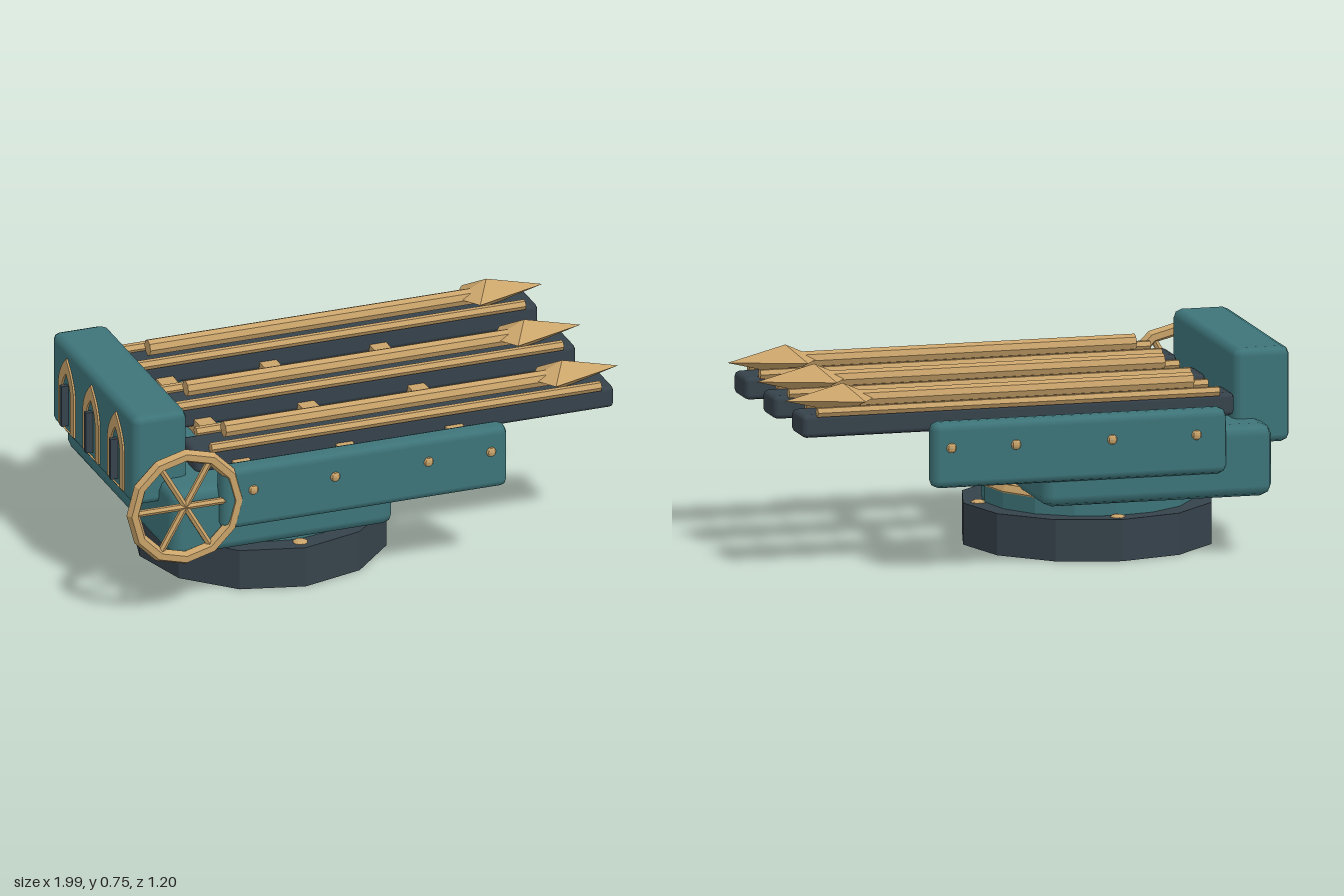
import * as THREE from 'three';
import { RoundedBoxGeometry } from 'three/addons/geometries/RoundedBoxGeometry.js';

const teal = new THREE.MeshStandardMaterial({ color: 0x3d7479 });
const gold = new THREE.MeshStandardMaterial({ color: 0xc9a36a, flatShading: true });
const dark = new THREE.MeshStandardMaterial({ color: 0x36424b });
const tealFlat = new THREE.MeshStandardMaterial({ color: 0x3d7479, flatShading: true });
const darkFlat = new THREE.MeshStandardMaterial({ color: 0x36424b, flatShading: true });

export function createModel() {
  const model = new THREE.Group();

  function add(name, geometry, material, x = 0, y = 0, z = 0, parent = model) {
    const mesh = new THREE.Mesh(geometry, material);
    mesh.name = name;
    mesh.position.set(x, y, z);
    parent.add(mesh);
    return mesh;
  }

  // Chamfered box given by its min and max on each axis
  function block(name, material, [x0, x1], [y0, y1], [z0, z1], bevel, parent = model) {
    const geometry = new RoundedBoxGeometry(x1 - x0, y1 - y0, z1 - z0, 1, bevel);
    return add(name, geometry, material, (x0 + x1) / 2, (y0 + y1) / 2, (z0 + z1) / 2, parent);
  }

  // Rod lying along x
  function rod(name, x0, x1, y, z, radius, sides, parent) {
    const geometry = new THREE.CylinderGeometry(radius, radius, x1 - x0, sides).rotateZ(-Math.PI / 2);
    return add(name, geometry, gold, (x0 + x1) / 2, y, z, parent);
  }

  // Turntable base
  const baseX = -0.265;
  add('base', new THREE.CylinderGeometry(0.47, 0.47, 0.155, 12), darkFlat, baseX, 0.0775, 0);
  add('turntable', new THREE.CylinderGeometry(0.39, 0.39, 0.07, 16), tealFlat, baseX, 0.185, 0);
  add('turntableRing', new THREE.TorusGeometry(0.365, 0.028, 6, 16).rotateX(Math.PI / 2), gold, baseX, 0.22, 0);
  for (let i = 0; i < 4; i++) {
    const a = (i * Math.PI) / 2;
    const bolt = add('baseBolt', new THREE.SphereGeometry(0.03, 8, 6), gold,
      baseX + 0.413 * Math.cos(a), 0.153, 0.413 * Math.sin(a));
    bolt.scale.y = 0.4;
  }

  // Carriage body, rear block and cross beams
  block('body', teal, [-0.82, 0.055], [0.225, 0.495], [-0.547, 0.547], 0.042);
  block('rearBlock', teal, [-0.92, -0.705], [0.4, 0.755], [-0.42, 0.42], 0.03);
  for (const x of [-0.52, -0.115, 0.315])
    add('crossBeam', new THREE.BoxGeometry(0.066, 0.06, 1.02), gold, x, 0.521, 0);

  // Side panels with studs
  for (const s of [-1, 1]) {
    const z0 = s * 0.543;
    block('sidePanel', teal, [-0.635, 0.485], [0.325, 0.57], [z0 - 0.042, z0 + 0.042], 0.03);
    for (const x of [-0.515, -0.195, 0.17, 0.415]) {
      const stud = add('panelStud', new THREE.SphereGeometry(0.019, 8, 6), gold, x, 0.478, s * 0.588);
      stud.scale.z = 0.6;
    }
  }

  // Bolt launchers: tray, two rails, shaft and head
  const head = boltHead();
  for (const z of [-0.385, 0, 0.385]) {
    const launcher = new THREE.Group();
    launcher.name = 'launcher';
    launcher.position.z = z;
    model.add(launcher);
    block('tray', dark, [-0.695, 0.945], [0.517, 0.602], [-0.08, 0.08], 0.018, launcher);
    for (const s of [-1, 1]) rod('rail', -0.635, 0.89, 0.612, s * 0.077, 0.019, 6, launcher);
    rod('boltShaft', -0.555, 0.72, 0.642, 0, 0.031, 8, launcher);
    add('boltHead', head, gold, 0, 0.645, 0, launcher);
  }

  // Hand wheel on the left side
  const wheel = new THREE.Group();
  wheel.name = 'handWheel';
  wheel.position.set(-0.775, 0.445, 0.567);
  model.add(wheel);
  add('wheelRim', new THREE.TorusGeometry(0.204, 0.025, 6, 12), gold, 0, 0, 0, wheel);
  for (let i = 0; i < 3; i++) {
    const spoke = add('wheelSpoke', new THREE.CylinderGeometry(0.013, 0.013, 0.4, 6), gold, 0, 0, 0, wheel);
    spoke.rotation.z = Math.PI / 2 + (i * Math.PI) / 3;
  }

  // Pointed windows on the rear face
  const frame = archFrame();
  for (const z of [-0.25, 0, 0.25]) {
    add('windowFrame', frame, gold, -0.915, 0.43, z);
    add('windowBar', new THREE.BoxGeometry(0.035, 0.16, 0.02), dark, -0.93, 0.53, z);
  }
  return model;
}

// Faceted bolt head: four ridge points between a rear point and the tip
function boltHead() {
  const tip = [0.99, 0, 0], rear = [0.645, 0, 0];
  const ring = [[0.77, 0.057, 0], [0.71, 0, 0.095], [0.77, -0.055, 0], [0.71, 0, -0.095]];
  const points = [];
  ring.forEach((a, i) => {
    const b = ring[(i + 1) % 4];
    points.push(...tip, ...a, ...b, ...rear, ...b, ...a);
  });
  const geometry = new THREE.BufferGeometry();
  geometry.setAttribute('position', new THREE.Float32BufferAttribute(points, 3));
  geometry.computeVertexNormals();
  return geometry;
}

// Pointed arch outline of a given half width, from y0 up to the apex
function arch(path, w, y0, spring, apex) {
  path.moveTo(-w, y0);
  path.lineTo(w, y0);
  path.lineTo(w, spring);
  path.quadraticCurveTo(w * 0.9, (spring + apex) / 2, 0, apex);
  path.quadraticCurveTo(-w * 0.9, (spring + apex) / 2, -w, spring);
  path.closePath();
  return path;
}

function archFrame() {
  const shape = arch(new THREE.Shape(), 0.08, 0, 0.16, 0.285);
  shape.holes.push(arch(new THREE.Path(), 0.045, 0.0001, 0.15, 0.225));
  return new THREE.ExtrudeGeometry(shape, { depth: 0.012, bevelEnabled: false, curveSegments: 5 })
    .rotateY(-Math.PI / 2);
}
